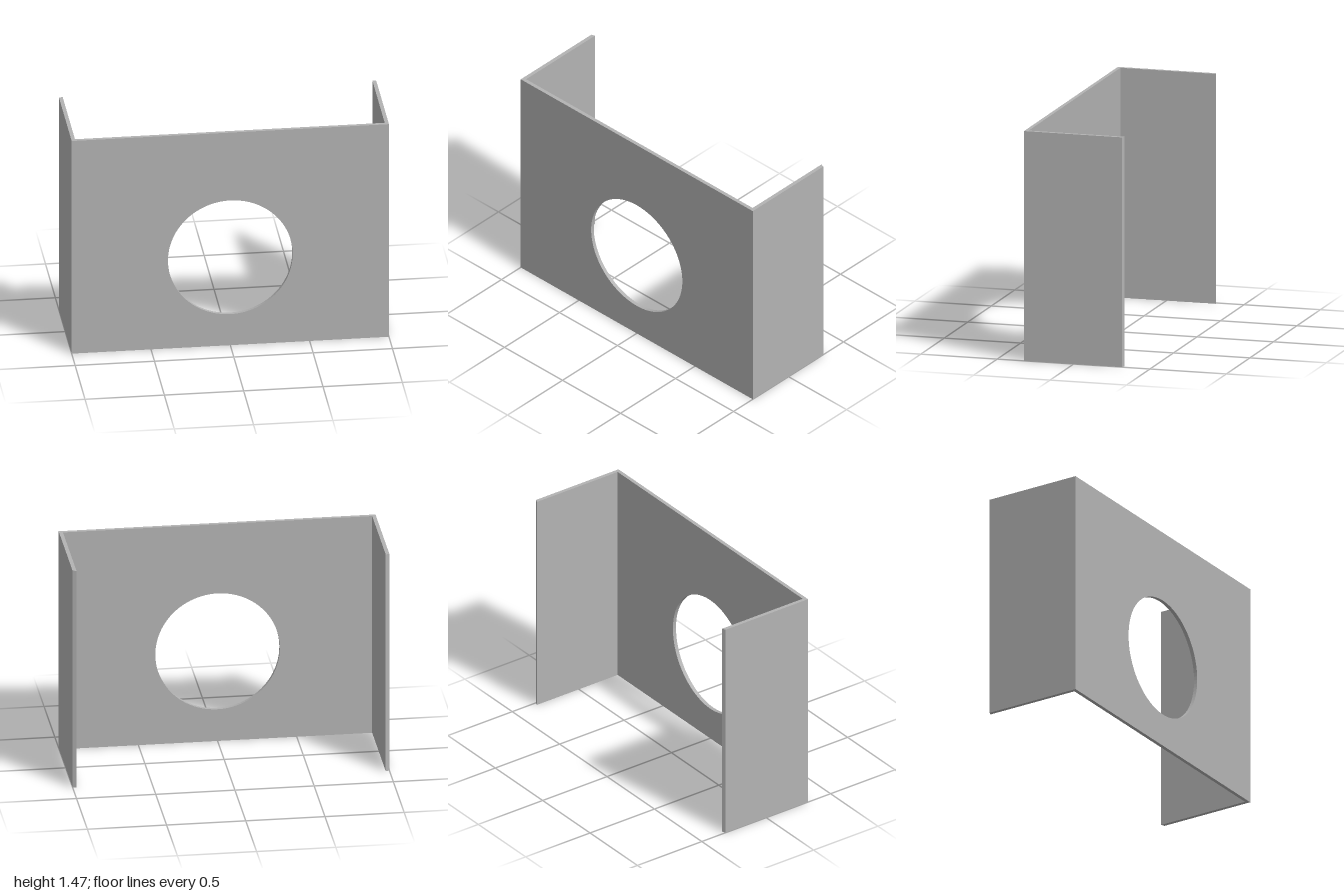
import * as THREE from 'three';

const HEIGHT = 1.47, FRONT = 0.325, WALL = 0.024;

export function createModel() {
  const group = new THREE.Group();
  group.name = 'bracketPanel';
  const grey = new THREE.MeshStandardMaterial({ color: 0xb3b3b3 });
  grey.name = 'plain grey';

  // Front plate with a round opening
  const plate = new THREE.Shape([
    new THREE.Vector2(-1, 0), new THREE.Vector2(1, 0),
    new THREE.Vector2(1, HEIGHT), new THREE.Vector2(-1, HEIGHT),
  ]);
  const hole = new THREE.Path();
  hole.absarc(0, 0.608, 0.393, 0, Math.PI * 2, true);
  plate.holes.push(hole);
  const plateGeometry = new THREE.ExtrudeGeometry(plate, { depth: WALL, bevelEnabled: false, curveSegments: 48 });
  plateGeometry.translate(0, 0, FRONT - WALL);
  const frontPlate = new THREE.Mesh(plateGeometry, grey);
  frontPlate.name = 'frontPlate';
  group.add(frontPlate);

  // Side flanges, drawn in plan (x, -z) with slanted rear ends
  for (const side of [-1, 1]) {
    const plan = new THREE.Shape([
      new THREE.Vector2(side, WALL - FRONT),
      new THREE.Vector2(side, 0.316),
      new THREE.Vector2(side * (1 - WALL), 0.325),
      new THREE.Vector2(side * (1 - WALL), WALL - FRONT),
    ]);
    const geometry = new THREE.ExtrudeGeometry(plan, { depth: HEIGHT, bevelEnabled: false });
    geometry.rotateX(-Math.PI / 2);
    const flange = new THREE.Mesh(geometry, grey);
    flange.name = side > 0 ? 'leftFlange' : 'rightFlange';
    group.add(flange);
  }
  return group;
}
